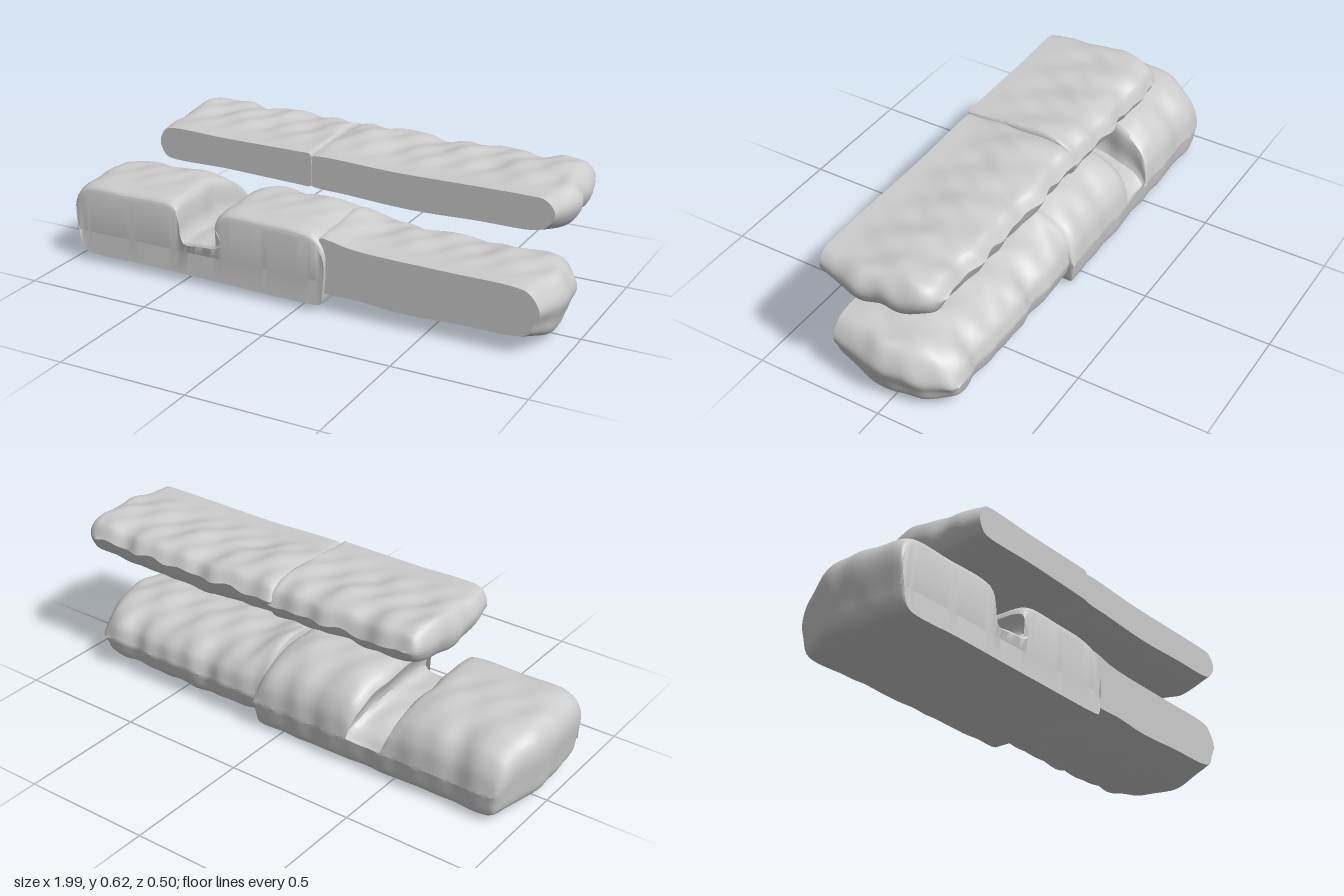
import * as THREE from 'three';
import { toCreasedNormals } from 'three/addons/utils/BufferGeometryUtils.js';

const material = new THREE.MeshStandardMaterial({ color: 0xcccccc, side: THREE.DoubleSide });

// Smooth lumpy waviness, roughly -1..1
const lumps = (x, y, z, k) =>
  0.4 * Math.sin(19 * x + 9 * z + k) + 0.35 * Math.sin(33 * x - 17 * z + 8 * y + 2 * k) +
  0.25 * Math.sin(51 * x + 29 * z - 11 * y + 3 * k);

// Lofts a stone from front to back.
// outline: (x, y) silhouette, counter-clockwise; rings: [z, bottom, top, length scale about anchor];
// face: [z, y] of the line in which the front closes; the last ring closes the back.
function stone(name, { outline, rings, face, anchor, seed, rough = 0.011 }) {
  const curve = new THREE.CatmullRomCurve3(
    outline.map(([x, y]) => new THREE.Vector3(x, y, 0)), true, 'centripetal');
  const n = 150;
  const pts = curve.getSpacedPoints(n).slice(0, n);
  const ys = pts.map(p => p.y);
  const y0 = Math.min(...ys), h = Math.max(...ys) - y0;

  // Smooth front-to-back sections, preceded by the closed front face
  const body = new THREE.CatmullRomCurve3(
    rings.map(([z, b, t]) => new THREE.Vector3(z, b, t)), false, 'catmullrom', 0.4);
  const scale = new THREE.CatmullRomCurve3(
    rings.map(r => new THREE.Vector3(r[3], 0, 0)), false, 'catmullrom', 0.4);
  const steps = (rings.length - 1) * 5;
  const sections = [[face[0], face[1], face[1], rings[0][3]]];
  for (let j = 0; j <= steps; j++) {
    const p = body.getPoint(j / steps);
    sections.push([p.x, p.y, p.z, scale.getPoint(j / steps).x]);
  }

  const position = [], index = [];
  sections.forEach(([z, b, t, s], j) => {
    const fade = THREE.MathUtils.smoothstep(rings[0][0] - z, 0.02, 0.2);
    const back = THREE.MathUtils.smoothstep(-z, 0.05, 0.22);
    for (const p of pts) {
      const x = anchor + (p.x - anchor) * s;
      const y = b + (t - b) * (p.y - y0) / h;
      const end = Math.min(1, Math.abs(x - anchor) / 0.3);
      position.push(
        x + fade * end * rough * lumps(z, y, x * 0.3, seed + 4),
        y + fade * rough * lumps(x, y, z, seed),
        z + back * 1.3 * rough * lumps(x, y * 0.5, 0, seed + 7));
    }
    if (j === 0) return;
    for (let i = 0; i < n; i++) {
      const k = (i + 1) % n;
      const a = (j - 1) * n + i, c = j * n + i, d = (j - 1) * n + k, e = j * n + k;
      index.push(a, c, d, d, c, e);
    }
  });
  const geometry = new THREE.BufferGeometry();
  geometry.setAttribute('position', new THREE.Float32BufferAttribute(position, 3));
  geometry.setIndex(index);
  const mesh = new THREE.Mesh(toCreasedNormals(geometry, 0.7), material);
  mesh.name = name;
  return mesh;
}

export function createModel() {
  const group = new THREE.Group();
  group.name = 'stoneSlabs';

  // Upper slab, short half
  group.add(stone('upperShortSlab', {
    outline: [[-0.57, 0.48], [-0.3, 0.475], [0, 0.465], [0.045, 0.465], [0.05, 0.48], [0.05, 0.6],
      [0.045, 0.618], [0, 0.62], [-0.3, 0.62], [-0.57, 0.62], [-0.59, 0.6], [-0.605, 0.55], [-0.59, 0.5]],
    rings: [[0.23, 0.485, 0.615, 0.965], [0.15, 0.47, 0.618, 0.99], [0.03, 0.455, 0.622, 0.99],
      [-0.08, 0.455, 0.627, 1], [-0.15, 0.465, 0.62, 0.98], [-0.2, 0.49, 0.595, 0.94], [-0.225, 0.54, 0.54, 0.88]],
    face: [0.23, 0.54], anchor: 0.05, seed: 1,
  }));

  // Upper slab, long half
  group.add(stone('upperLongSlab', {
    outline: [[0.045, 0.46], [0.2, 0.445], [0.45, 0.43], [0.7, 0.44], [0.93, 0.45], [0.965, 0.475],
      [0.99, 0.53], [0.985, 0.57], [0.95, 0.61], [0.9, 0.615], [0.4, 0.61], [0.05, 0.615],
      [0.043, 0.6], [0.043, 0.48]],
    rings: [[0.225, 0.468, 0.603, 0.965], [0.15, 0.448, 0.603, 0.98], [0.05, 0.436, 0.612, 1],
      [-0.04, 0.43, 0.62, 0.99], [-0.12, 0.44, 0.615, 0.98], [-0.19, 0.475, 0.6, 0.95], [-0.225, 0.55, 0.55, 0.89]],
    face: [0.225, 0.54], anchor: 0.045, seed: 5,
  }));

  // Lower slab with the square notch cut through from front to back
  group.add(stone('notchedLowerSlab', {
    outline: [[-0.955, 0.045], [-0.7, 0.04], [-0.3, 0.033], [0.06, 0.03], [0.09, 0.035], [0.1, 0.08],
      [0.108, 0.2], [0.1, 0.26], [0.07, 0.305], [0, 0.325], [-0.15, 0.33], [-0.3, 0.33],
      [-0.335, 0.315], [-0.355, 0.285], [-0.34, 0.25], [-0.337, 0.205], [-0.36, 0.19], [-0.43, 0.185],
      [-0.495, 0.18], [-0.51, 0.21], [-0.518, 0.28], [-0.53, 0.32], [-0.57, 0.333], [-0.75, 0.333],
      [-0.93, 0.33], [-0.975, 0.3], [-0.995, 0.25], [-0.985, 0.13], [-0.975, 0.07]],
    rings: [[0.245, 0.035, 0.295, 0.985], [0.235, 0.033, 0.318, 0.99], [0.19, 0.03, 0.332, 0.995],
      [0.06, 0.028, 0.333, 1], [-0.05, 0.026, 0.332, 1], [-0.13, 0.023, 0.31, 0.985],
      [-0.2, 0.021, 0.26, 0.96], [-0.235, 0.03, 0.2, 0.94], [-0.25, 0.12, 0.12, 0.92]],
    face: [0.237, 0.13], anchor: 0.1, seed: 9, rough: 0.007,
  }));

  // Lower slab, plain half
  group.add(stone('plainLowerSlab', {
    outline: [[0.08, 0.035], [0.25, 0.025], [0.42, 0.01], [0.65, 0.02], [0.86, 0.025], [0.91, 0.045],
      [0.93, 0.1], [0.95, 0.16], [0.935, 0.21], [0.9, 0.255], [0.85, 0.268], [0.6, 0.272],
      [0.3, 0.278], [0.2, 0.287], [0.13, 0.305], [0.085, 0.31], [0.078, 0.28], [0.075, 0.08]],
    rings: [[0.228, 0.07, 0.296, 0.97], [0.15, 0.038, 0.305, 0.985], [0.05, 0.014, 0.31, 1],
      [-0.05, 0.014, 0.308, 1], [-0.12, 0.018, 0.29, 0.98], [-0.18, 0.03, 0.255, 0.95],
      [-0.22, 0.06, 0.205, 0.92], [-0.238, 0.13, 0.13, 0.89]],
    face: [0.228, 0.17], anchor: 0.08, seed: 13, rough: 0.01,
  }));
  return group;
}
